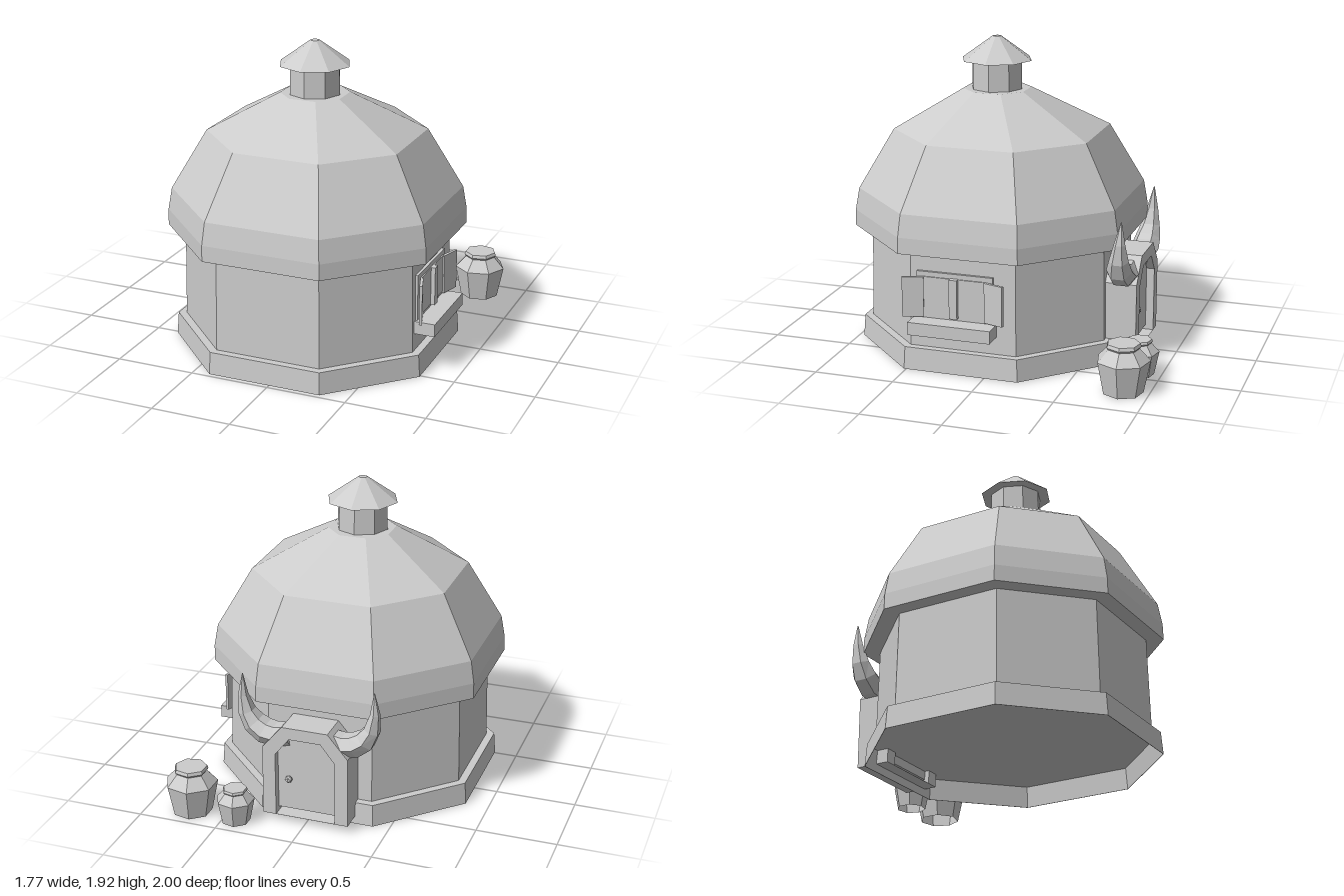
import * as THREE from 'three';

const stone = new THREE.MeshStandardMaterial({ color: 0xcccccc, flatShading: true, side: THREE.DoubleSide });
stone.name = 'plain grey';

const CX = -0.035, CZ = 0.152;

// Skins a stack of rings; each ring runs counter-clockwise about the stack direction
function loft(rings) {
  const pos = [];
  const tri = (...pts) => pts.forEach(p => pos.push(p.x, p.y, p.z));
  const n = rings[0].length;
  for (let k = 0; k < rings.length - 1; k++) {
    const a = rings[k], b = rings[k + 1];
    for (let i = 0; i < n; i++) {
      const j = (i + 1) % n;
      tri(a[i], a[j], b[j]);
      tri(a[i], b[j], b[i]);
    }
  }
  const first = rings[0], last = rings[rings.length - 1];
  for (let i = 1; i < n - 1; i++) {
    tri(first[0], first[i + 1], first[i]);
    tri(last[0], last[i], last[i + 1]);
  }
  const geo = new THREE.BufferGeometry();
  geo.setAttribute('position', new THREE.Float32BufferAttribute(pos, 3));
  geo.computeVertexNormals();
  return geo;
}

// Octagon with flat sides facing the axes: a = distance to the sides, s = half side
function octagon(y, a, z = CZ) {
  const s = a * 0.44;
  return [[-s, a], [s, a], [a, s], [a, -s], [s, -a], [-s, -a], [-a, -s], [-a, s]]
    .map(([px, pz]) => new THREE.Vector3(CX + px, y, z + pz));
}

// Arched doorway outline with chamfered top corners
function archPoints(w, h, topW, topH, base) {
  return [[-w, base], [w, base], [w, h], [topW, topH], [-topW, topH], [-w, h]]
    .map(([x, y]) => new THREE.Vector2(x, y));
}

export function createModel() {
  const model = new THREE.Group();
  model.name = 'roundHut';

  const add = (name, geo, x = 0, y = 0, z = 0, parent = model) => {
    const mesh = new THREE.Mesh(geo, stone);
    mesh.name = name;
    mesh.position.set(x, y, z);
    parent.add(mesh);
    return mesh;
  };
  const box = (name, w, h, d, x, y, z, parent) =>
    add(name, new THREE.BoxGeometry(w, h, d), x, y, z, parent);

  // Octagonal body; the plinth is hollow underneath
  add('plinth', loft([
    octagon(0.135, 0.807), octagon(0, 0.817), octagon(0, 0.82), octagon(0.14, 0.81),
  ]));
  add('walls', loft([octagon(0.14, 0.763), octagon(0.76, 0.752)]));
  add('roof', loft([
    octagon(0.74, 0.85), octagon(0.84, 0.848), octagon(0.98, 0.825),
    octagon(1.355, 0.62), octagon(1.6, 0.195, 0.185),
  ]));

  // Chimney
  add('chimney', new THREE.CylinderGeometry(0.16, 0.163, 0.22, 8), CX, 1.69, 0.187);
  add('chimneyCap', new THREE.CylinderGeometry(0.027, 0.225, 0.145, 8), CX, 1.852, 0.187);

  // Window in the left wall
  const win = new THREE.Group();
  win.name = 'window';
  model.add(win);
  box('windowFrame', 0.05, 0.3, 0.48, 0.712, 0.47, 0.198, win);
  box('windowPane', 0.01, 0.24, 0.39, 0.739, 0.47, 0.198, win);
  box('windowBar', 0.04, 0.245, 0.05, 0.75, 0.47, 0.198, win);
  box('windowSill', 0.16, 0.08, 0.52, 0.775, 0.29, 0.198, win);
  for (const side of [1, -1]) {
    const shutter = box('shutter', 0.018, 0.25, 0.13, 0.765, 0.465, 0.198 + side * 0.256, win);
    shutter.rotation.y = side * 0.3;
  }

  // Doorway at the back
  const door = new THREE.Group();
  door.name = 'doorway';
  door.position.x = -0.01;
  model.add(door);
  const frame = new THREE.Shape(archPoints(0.272, 0.5, 0.145, 0.65, 0.05));
  frame.holes.push(new THREE.Path(archPoints(0.19, 0.46, 0.1, 0.575, 0.051).reverse()));
  add('doorFrame', new THREE.ExtrudeGeometry(frame, { depth: 0.22, bevelEnabled: false }), 0, 0, -0.8, door);
  const panel = new THREE.Shape(archPoints(0.195, 0.465, 0.102, 0.58, 0.08));
  add('doorPanel', new THREE.ExtrudeGeometry(panel, { depth: 0.14, bevelEnabled: false }), 0, 0, -0.75, door);
  add('doorKnob', new THREE.IcosahedronGeometry(0.025, 0), 0.115, 0.29, -0.772, door);

  // Horns curling up from both sides of the door frame
  for (const side of [1, -1]) {
    const path = new THREE.CatmullRomCurve3(
      [[0.12, 0.57, -0.712], [0.25, 0.553, -0.712], [0.355, 0.61, -0.712], [0.41, 0.73, -0.722], [0.415, 0.935, -0.735]]
        .map(([x, y, z]) => new THREE.Vector3(side * x, y, z)));
    const radii = [0.08, 0.088, 0.09, 0.082, 0.062, 0.036, 0.003];
    const across = new THREE.Vector3(0, 0, 1);
    const rings = radii.map((r, k) => {
      const t = k / (radii.length - 1);
      const p = path.getPoint(t);
      const out = path.getTangent(t).cross(across).normalize();
      return Array.from({ length: 6 }, (_, i) => {
        const a = (i / 6) * Math.PI * 2;
        return p.clone().addScaledVector(across, r * Math.cos(a)).addScaledVector(out, r * 0.85 * Math.sin(a));
      });
    });
    add('horn', loft(rings), 0, 0, 0, door);
  }

  // Seven-sided pots beside the door, open underneath
  const profile = [[0.123, 0], [0.163, 0.2], [0.097, 0.272], [0.107, 0.285], [0.1, 0.305], [0, 0.305]]
    .map(([x, y]) => new THREE.Vector2(x, y));
  const potGeo = new THREE.LatheGeometry(profile, 7, Math.PI / 2);
  add('largePot', potGeo, 0.72, 0, -0.84);
  add('smallPot', potGeo, 0.42, 0, -0.865).scale.setScalar(0.73);

  return model;
}
